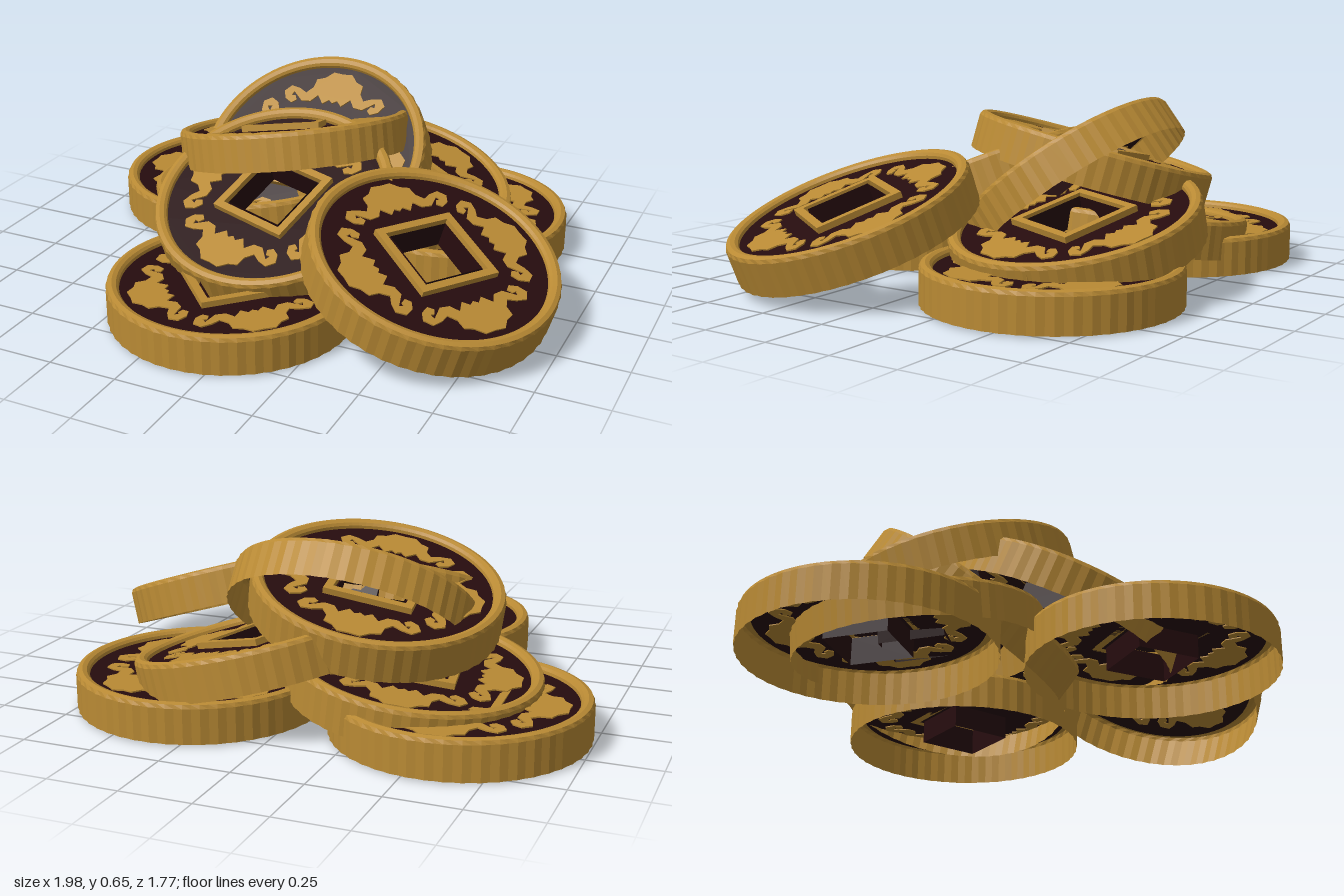
import * as THREE from 'three';

const R = 0.44, DEPTH = 0.14, RECESS = -0.025, HOLE = 0.115, FRAME = 0.155;

const gold = new THREE.MeshStandardMaterial({ color: 0xb98a34, side: THREE.DoubleSide, flatShading: true });
gold.name = 'antique gold';
const maroon = new THREE.MeshStandardMaterial({ color: 0x260c0e, side: THREE.DoubleSide, flatShading: true });
maroon.name = 'dark maroon';

// square outline of half size h, as a shape or a hole
function square(h, Type = THREE.Shape) {
  return new Type([[-h, -h], [h, -h], [h, h], [-h, h]].map(([x, y]) => new THREE.Vector2(x, y)));
}

// lay a shape flat, extruded from y0 upwards by depth
function flatExtrude(shape, y0, depth) {
  const g = new THREE.ExtrudeGeometry(shape, { depth, bevelEnabled: false, curveSegments: 10 });
  return g.rotateX(-Math.PI / 2).translate(0, y0, 0);
}

// open-bottomed outer wall with a rounded rim and fine ribs
function rimGeometry() {
  const profile = [[R, -DEPTH], [R, -0.018], [R - 0.007, -0.005], [R - 0.022, 0],
    [R - 0.037, -0.005], [R - 0.045, -0.014], [R - 0.047, RECESS]];
  const g = new THREE.LatheGeometry(profile.map(([x, y]) => new THREE.Vector2(x, y)), 96);
  const p = g.attributes.position;
  for (let i = 0; i < p.count; i++) {
    const column = Math.floor(i / profile.length);
    if (i % profile.length < 2 && column % 2) {
      p.setX(i, p.getX(i) * 0.992);
      p.setZ(i, p.getZ(i) * 0.992);
    }
  }
  g.computeVertexNormals();
  return g;
}

// cloud scroll: mirrored half outline (along the arc, outwards), bent round the coin
function cloudShape() {
  const half = [[0, 0.08], [0.03, 0.085], [0.055, 0.06], [0.083, 0.055], [0.095, 0.02], [0.125, 0.002],
    [0.145, 0.03], [0.17, 0.055], [0.2, 0.045], [0.208, 0.01], [0.195, -0.02], [0.17, -0.018],
    [0.168, 0.004], [0.182, 0.012], [0.168, 0.024], [0.15, -0.03], [0.11, -0.042], [0.075, -0.02],
    [0.05, -0.06], [0.02, -0.042], [0, -0.055]];
  const mirrored = half.slice(1, -1).reverse().map(([u, v]) => [-u, v]);
  return new THREE.Shape([...half, ...mirrored].map(([u, v]) => {
    const a = u / 0.285, r = 0.283 + v;
    return new THREE.Vector2(Math.sin(a) * r, Math.cos(a) * r);
  }));
}

function shared() {
  const disc = new THREE.Shape().absarc(0, 0, R - 0.045, 0, Math.PI * 2);
  disc.holes.push(square(HOLE, THREE.Path));
  const frame = square(FRAME);
  frame.holes.push(square(HOLE + 0.012, THREE.Path));
  // four walls of the square hole
  const well = new THREE.CylinderGeometry(HOLE * Math.SQRT2, HOLE * Math.SQRT2, 0.1, 4, 1, true);
  well.rotateY(Math.PI / 4).translate(0, RECESS - 0.035, 0);
  return {
    rim: rimGeometry(),
    face: new THREE.ShapeGeometry(disc, 32).rotateX(-Math.PI / 2).translate(0, RECESS, 0),
    frame: flatExtrude(frame, RECESS, 0.022),
    well,
    cloud: flatExtrude(cloudShape(), RECESS - 0.004, 0.009),
  };
}

function makeCoin(parts, { name, at, lean = [0, 0], spin = 0 }) {
  const coin = new THREE.Group();
  coin.name = name;
  const add = (part, geometry, material, turn = 0) => {
    const mesh = new THREE.Mesh(geometry, material);
    mesh.name = part;
    mesh.rotation.y = turn;
    coin.add(mesh);
  };
  add('rim', parts.rim, gold);
  add('recessedFace', parts.face, maroon);
  add('squareFrame', parts.frame, gold);
  add('holeWall', parts.well, maroon);
  for (let i = 0; i < 4; i++) add('cloudRelief', parts.cloud, gold, i * Math.PI / 2);

  // lean gives the x and z parts of the face normal, spin turns the coin on its axis
  const up = new THREE.Vector3(0, 1, 0);
  const normal = new THREE.Vector3(lean[0], 1, lean[1]).normalize();
  coin.quaternion.setFromUnitVectors(up, normal)
    .multiply(new THREE.Quaternion().setFromAxisAngle(up, spin));
  coin.position.set(...at);
  return coin;
}

export function createModel() {
  const pile = new THREE.Group();
  pile.name = 'coinPile';
  const parts = shared();
  // position is the centre of each top face
  const coins = [
    { name: 'flatCoinBackRight', at: [-0.56, 0.14, -0.415], spin: 0.05 },
    { name: 'flatCoinFront', at: [-0.115, 0.14, 0.44], spin: Math.PI / 4 },
    { name: 'flatCoinBackLeft', at: [0.37, 0.14, -0.45], spin: -0.6 },
    { name: 'lowLeaningCoin', at: [-0.375, 0.205, -0.325], lean: [-0.13, -0.04], spin: 0.17 },
    { name: 'backLeaningCoin', at: [0.175, 0.27, -0.41], lean: [0.26, 0.05], spin: -0.38 },
    { name: 'middleLeaningCoin', at: [-0.105, 0.345, 0.145], lean: [0, 0.46], spin: -0.26 },
    { name: 'steepCoin', at: [-0.11, 0.376, -0.187], lean: [0, 0.79] },
    { name: 'topCoin', at: [-0.22, 0.46, -0.27], lean: [-0.2, -0.2], spin: 0.1 },
    { name: 'leftLeaningCoin', at: [0.57, 0.3, 0.262], lean: [0.32, 0.17], spin: -0.59 },
  ];
  for (const c of coins) pile.add(makeCoin(parts, c));
  return pile;
}
